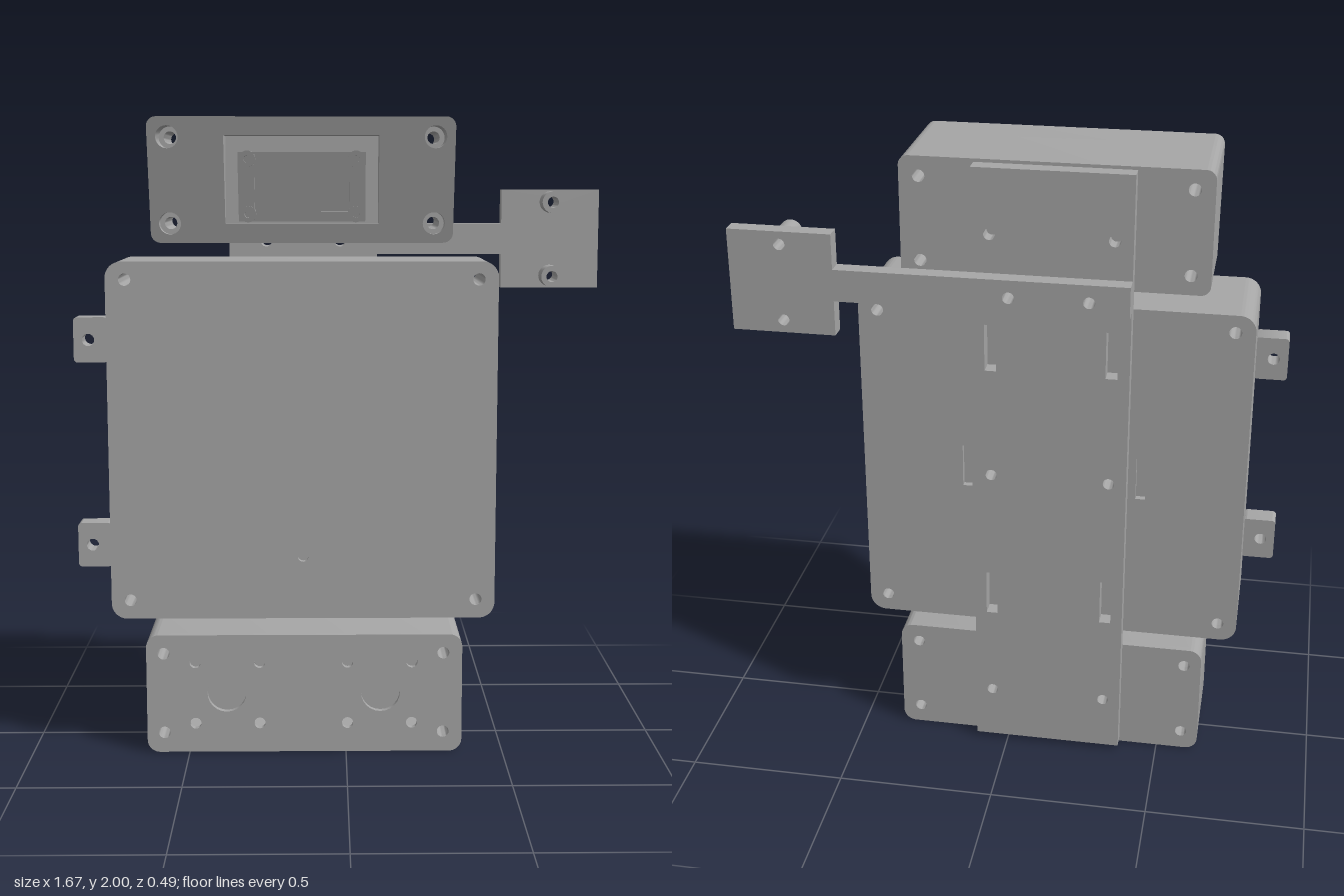
import * as THREE from 'three';
import { toCreasedNormals } from 'three/addons/utils/BufferGeometryUtils.js';

const grey = new THREE.MeshStandardMaterial({ color: 0xa6a6a6 });
grey.name = 'plain grey';

// Traces a rounded rectangle given by its edges
function rounded(path, x0, y0, x1, y1, r) {
  if (r === 0) {
    path.moveTo(x0, y0).lineTo(x1, y0).lineTo(x1, y1).lineTo(x0, y1).closePath();
    return path;
  }
  path.moveTo(x0 + r, y0);
  path.absarc(x1 - r, y0 + r, r, -Math.PI / 2, 0);
  path.absarc(x1 - r, y1 - r, r, 0, Math.PI / 2);
  path.absarc(x0 + r, y1 - r, r, Math.PI / 2, Math.PI);
  path.absarc(x0 + r, y0 + r, r, Math.PI, Math.PI * 1.5);
  path.closePath();
  return path;
}
const rect = (x0, y0, x1, y1, r = 0) => rounded(new THREE.Shape(), x0, y0, x1, y1, r);
const cutout = (x0, y0, x1, y1, r = 0) => rounded(new THREE.Path(), x0, y0, x1, y1, r);
const hole = (x, y, r) => new THREE.Path().absarc(x, y, r, 0, Math.PI * 2);
const disc = (x, y, r) => new THREE.Shape().absarc(x, y, r, 0, Math.PI * 2);
const grid = (xs, ys, r) => xs.flatMap(x => ys.map(y => hole(x, y, r)));

// Extrudes a shape with holes between two depths; slant(y) moves the front cap
function slab(group, name, shape, holes, z0, z1, slant) {
  shape.holes.push(...holes);
  const geo = new THREE.ExtrudeGeometry(shape, { depth: z1 - z0, bevelEnabled: false, curveSegments: 12 });
  geo.translate(0, 0, z0);
  if (slant) {
    const p = geo.attributes.position;
    for (let i = 0; i < p.count; i++) if (p.getZ(i) > (z0 + z1) / 2) p.setZ(i, slant(p.getY(i)));
  }
  const mesh = new THREE.Mesh(toCreasedNormals(geo, 0.6), grey);
  mesh.name = name;
  group.add(mesh);
  return mesh;
}

// Hollow box: front panel, wall, back panel and screw tubes
function hollowBox(root, name, [x0, y0, x1, y1, r], screws, frontHoles, backHoles) {
  const g = new THREE.Group();
  g.name = name;
  const [xs, ys] = screws, back = -0.14, front = 0.19, t = 0.02;
  slab(g, 'frontPanel', rect(x0, y0, x1, y1, r), [...grid(xs, ys, 0.019), ...frontHoles], front - t, front);
  slab(g, 'wall', rect(x0, y0, x1, y1, r), [cutout(x0 + t, y0 + t, x1 - t, y1 - t, r - t)], back + t, front - t);
  slab(g, 'backPanel', rect(x0, y0, x1, y1, r), [...grid(xs, ys, 0.019), ...backHoles], back, back + t);
  for (const x of xs) for (const y of ys)
    slab(g, 'screwTube', disc(x, y, 0.034), [hole(x, y, 0.019)], back + t, front - t);
  root.add(g);
  return g;
}

export function createModel() {
  const root = new THREE.Group();
  root.name = 'mountedBoxes';
  const columns = [-0.32, 0.05];

  // Lower box with two round openings and their screw holes
  hollowBox(root, 'lowerBox', [-0.635, 0, 0.37, 0.385, 0.04], [[-0.58, 0.31], [0.065, 0.325]],
    [...grid([-0.38, 0.11], [0.195], 0.062), ...grid([-0.48, -0.275, 0.005, 0.21], [0.095, 0.295], 0.018)],
    grid(columns, [0.195], 0.018));

  // Main box with slots in its back
  const main = hollowBox(root, 'mainBox', [-0.74, 0.44, 0.47, 1.565, 0.05], [[-0.68, 0.41], [0.5, 1.51]],
    [hole(-0.135, 0.64, 0.017)],
    [...grid(columns, [1], 0.018), cutout(-0.43, 0.93, -0.4, 1.07), cutout(0.12, 0.93, 0.15, 1.07)]);
  for (const y of [0.68, 1.325])
    slab(main, 'sideTab', rect(-0.84, y - 0.07, -0.735, y + 0.07, 0.012), [hole(-0.795, y, 0.019)], 0.12, 0.19);

  // Head with a face leaning forward
  const head = new THREE.Group();
  head.name = 'head';
  const faceZ = y => 0.14 + (y - 1.62) * 0.276;
  const outline = () => rect(-0.6, 1.62, 0.33, 2, 0.03);
  const hx = [-0.54, 0.27], hy = [1.68, 1.94];
  slab(head, 'headBody', outline(), grid(hx, hy, 0.019), -0.14, 0.115);
  slab(head, 'headFace', outline(), [...grid(hx, hy, 0.034), cutout(-0.37, 1.68, 0.1, 1.945)], 0.115, 0.14, faceZ);

  // Tilted device inside the face recess
  const sunk = d => y => faceZ(y) - d;
  slab(head, 'deviceBoard', rect(-0.33, 1.685, 0.06, 1.895), [], 0.115, 0.13, sunk(0.03));
  slab(head, 'deviceFrame', rect(-0.3, 1.7, 0.03, 1.88, 0.01), [cutout(-0.28, 1.715, 0.01, 1.86)], 0.12, 0.14, sunk(0.012));
  slab(head, 'deviceCentre', rect(-0.2, 1.75, -0.075, 1.83), [], 0.12, 0.14, sunk(0.015));
  for (const x of [-0.3, 0.03]) for (const y of [1.708, 1.875])
    slab(head, 'devicePost', disc(x, y, 0.025), [hole(x, y, 0.011)], 0.12, 0.14, sunk(0.004));
  root.add(head);

  // Backbone with screw holes and strap slots
  const slots = columns.flatMap(x => [0.57, 1.43].map(y => cutout(x - 0.018, y - 0.075, x + 0.018, y + 0.075)));
  slab(root, 'backbone', rect(-0.375, 0.015, 0.105, 1.99),
    [...grid(columns, [0.195, 1, 1.79], 0.018), ...grid([-0.255, -0.015], [1.615], 0.018), ...slots], -0.19, -0.14);

  // Side arm ending in a square plate with two standoffs
  const arm = new THREE.Group();
  arm.name = 'sideArm';
  const armShape = new THREE.Shape([[-0.375, 1.57], [0.515, 1.57], [0.515, 1.46], [0.835, 1.46],
    [0.835, 1.78], [0.515, 1.78], [0.515, 1.67], [-0.375, 1.67]].map(p => new THREE.Vector2(...p)));
  slab(arm, 'armPlate', armShape,
    [...grid([0.675], [1.5, 1.74], 0.018), ...grid([-0.255, -0.015], [1.615], 0.018)], -0.243, -0.19);
  for (const y of [1.5, 1.74])
    slab(arm, 'standoff', disc(0.675, y, 0.035), [hole(0.675, y, 0.018)], -0.19, -0.113);
  root.add(arm);

  return root;
}
